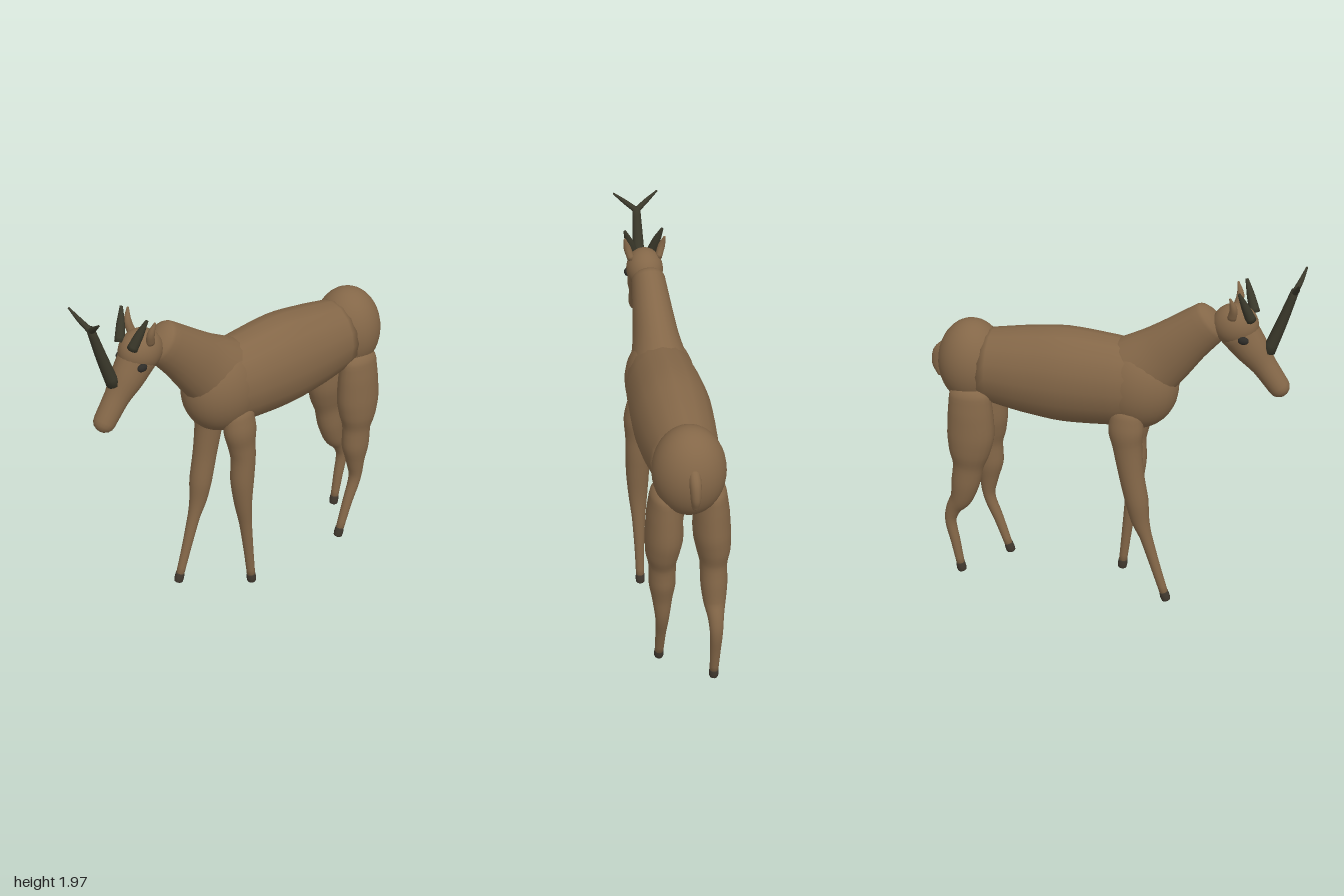
import * as THREE from 'three';

const coat = new THREE.MeshStandardMaterial({ name: 'brown coat', color: 0x846748 });
const horn = new THREE.MeshStandardMaterial({ name: 'dark horn', color: 0x3b392b });
const hoofMat = new THREE.MeshStandardMaterial({ name: 'dark hoof', color: 0x40382e });
const eyeMat = new THREE.MeshStandardMaterial({ name: 'dark eye', color: 0x2e2c28 });

// Smooth tube through sections [x, y, z, side radius, depth radius], with rounded ends.
function loft(name, sections, material, { sides = 20, steps = 4, start = 0, end = 0 } = {}) {
  const centre = new THREE.CatmullRomCurve3(sections.map((s) => new THREE.Vector3(s[0], s[1], s[2])));
  const radius = new THREE.CatmullRomCurve3(sections.map((s) => new THREE.Vector3(s[3], s[4] ?? s[3], 0)));
  const n = (sections.length - 1) * steps;
  const rings = [];
  const addRing = (t, shift, scale) => {
    const tangent = centre.getTangent(t);
    const side = new THREE.Vector3(1, 0, 0).addScaledVector(tangent, -tangent.x).normalize();
    const depth = new THREE.Vector3().crossVectors(tangent, side);
    const r = radius.getPoint(t);
    rings.push({ p: centre.getPoint(t).addScaledVector(tangent, shift), side, depth, a: r.x * scale, b: r.y * scale });
  };
  const angles = [0, 0.25, 0.5, 0.75].map((k) => (k * Math.PI) / 2);
  if (start === 0) addRing(0, 0, 0.001);
  else addRing(0, -start, 0.001);
  if (start > 0) for (const a of angles.slice(1).reverse()) addRing(0, -start * Math.sin(a), Math.cos(a));
  for (let i = 0; i <= n; i++) addRing(i / n, 0, 1);
  if (end > 0) for (const a of angles.slice(1)) addRing(1, end * Math.sin(a), Math.cos(a));
  addRing(1, end, 0.001);

  const positions = [], index = [];
  rings.forEach((ring, i) => {
    for (let j = 0; j < sides; j++) {
      const a = (j / sides) * Math.PI * 2;
      const v = ring.p.clone()
        .addScaledVector(ring.side, ring.a * Math.cos(a))
        .addScaledVector(ring.depth, ring.b * Math.sin(a));
      positions.push(v.x, v.y, v.z);
      if (i === rings.length - 1) continue;
      const p = i * sides + j, q = i * sides + ((j + 1) % sides);
      index.push(p, q, p + sides, q, q + sides, p + sides);
    }
  });
  const geometry = new THREE.BufferGeometry();
  geometry.setAttribute('position', new THREE.Float32BufferAttribute(positions, 3));
  geometry.setIndex(index);
  geometry.computeVertexNormals();
  const mesh = new THREE.Mesh(geometry, material);
  mesh.name = name;
  return mesh;
}

function ellipsoid(name, position, radii, material) {
  const mesh = new THREE.Mesh(new THREE.SphereGeometry(1, 32, 20), material);
  mesh.name = name;
  mesh.position.set(...position);
  mesh.scale.set(...radii);
  return mesh;
}

// Leg from rows [y, z, side radius, depth radius, x offset], plus its hoof.
function leg(name, sideX, rows) {
  const group = new THREE.Group();
  group.name = name;
  const sections = rows.map(([y, z, rx, rz, x = 0.13]) => [sideX * x, y, z, rx, rz]);
  group.add(loft(name + 'Limb', sections, coat, { start: 0.06 }));
  const [x, y, z] = sections[sections.length - 1];
  const [, py, pz] = sections[sections.length - 2];
  const slope = (z - pz) / (y - py);
  group.add(loft(name + 'Hoof', [
    [x, y + 0.005, z, 0.024, 0.024],
    [x, 0.032, z + slope * (0.032 - y), 0.026, 0.027],
    [x, 0.012, z + slope * (0.012 - y), 0.024, 0.025],
  ], hoofMat, { end: 0.01 }));
  return group;
}

export function createModel() {
  const model = new THREE.Group();
  model.name = 'hornedGrazer';

  // Trunk
  model.add(loft('barrel', [
    [0, 1.265, 0.16, 0.18, 0.235],
    [0, 1.265, 0.02, 0.198, 0.25],
    [0, 1.268, -0.24, 0.21, 0.266],
    [0, 1.268, -0.48, 0.198, 0.24],
    [0, 1.27, -0.7, 0.17, 0.2],
  ], coat, { sides: 16 }));
  model.add(ellipsoid('chest', [0, 1.26, 0.14], [0.188, 0.25, 0.232], coat));
  model.add(ellipsoid('rump', [0, 1.28, -0.765], [0.186, 0.24, 0.182], coat));
  model.add(loft('tail', [
    [0, 1.37, -0.91, 0.025, 0.02],
    [0, 1.31, -0.95, 0.03, 0.035],
    [0, 1.24, -0.96, 0.026, 0.034],
    [0, 1.185, -0.95, 0.018, 0.02],
  ], coat, { sides: 14, start: 0.02, end: 0.02 }));

  // Neck and head
  model.add(loft('neck', [
    [0, 1.33, 0.15, 0.16, 0.21],
    [0, 1.44, 0.28, 0.125, 0.172],
    [0, 1.56, 0.41, 0.105, 0.137],
    [0, 1.665, 0.53, 0.09, 0.115],
  ], coat, { start: 0.05, end: 0.05 }));
  model.add(ellipsoid('skull', [0, 1.665, 0.662], [0.1, 0.113, 0.12], coat));
  model.add(loft('muzzle', [
    [0, 1.63, 0.68, 0.092, 0.105],
    [0, 1.54, 0.75, 0.084, 0.09],
    [0, 1.45, 0.82, 0.065, 0.066],
    [0, 1.34, 0.9, 0.059, 0.057],
  ], coat, { start: 0.05, end: 0.055 }));

  for (const s of [-1, 1]) {
    const label = s > 0 ? 'left' : 'right';
    model.add(ellipsoid(label + 'Eye', [s * 0.088, 1.62, 0.72], [0.017, 0.021, 0.028], eyeMat));
    model.add(loft(label + 'Ear', [
      [s * 0.075, 1.73, 0.655, 0.02, 0.024],
      [s * 0.093, 1.79, 0.665, 0.02, 0.02],
      [s * 0.108, 1.85, 0.65, 0.007, 0.006],
    ], coat, { sides: 12, end: 0.008 }));
    model.add(loft(label + 'Horn', [
      [s * 0.05, 1.72, 0.75, 0.028, 0.028],
      [s * 0.075, 1.8, 0.722, 0.023, 0.021],
      [s * 0.102, 1.88, 0.693, 0.008, 0.008],
    ], horn, { sides: 10 }));
    model.add(loft(label + 'Prong', [
      [0, 1.875, 0.955, 0.017, 0.017],
      [s * 0.06, 1.92, 0.977, 0.013, 0.013],
      [s * 0.122, 1.968, 0.994, 0.005, 0.005],
    ], horn, { sides: 8 }));
  }
  model.add(loft('noseHorn', [
    [0, 1.535, 0.838, 0.036, 0.034],
    [0, 1.71, 0.9, 0.03, 0.028],
    [0, 1.888, 0.958, 0.022, 0.02],
  ], horn, { sides: 12 }));

  // Front legs: left set back, right stepping forward
  const shoulder = [[1.12, 0.12, 0.065, 0.088, 0.12], [1.04, 0.12, 0.075, 0.095, 0.125]];
  model.add(leg('leftFrontLeg', 1, [
    ...shoulder,
    [0.95, 0.11, 0.07, 0.08, 0.125],
    [0.86, 0.102, 0.066, 0.069],
    [0.72, 0.108, 0.064, 0.065],
    [0.56, 0.102, 0.052, 0.047],
    [0.42, 0.084, 0.037, 0.034],
    [0.22, 0.061, 0.027, 0.027],
    [0.055, 0.043, 0.023, 0.023],
  ]));
  model.add(leg('rightFrontLeg', -1, [
    ...shoulder,
    [0.95, 0.128, 0.07, 0.08, 0.125],
    [0.78, 0.152, 0.064, 0.068],
    [0.62, 0.183, 0.062, 0.063],
    [0.5, 0.203, 0.048, 0.05],
    [0.4, 0.235, 0.036, 0.034],
    [0.22, 0.289, 0.027, 0.027],
    [0.055, 0.34, 0.023, 0.023],
  ]));

  // Hind legs: left stepping forward, right set back
  const thigh = [[1.13, -0.745, 0.075, 0.115, 0.12], [1.03, -0.745, 0.09, 0.125, 0.12],
    [0.9, -0.747, 0.097, 0.131, 0.122]];
  model.add(leg('leftHindLeg', 1, [
    ...thigh,
    [0.79, -0.743, 0.087, 0.113],
    [0.7, -0.738, 0.07, 0.085],
    [0.6, -0.735, 0.07, 0.084],
    [0.49, -0.738, 0.053, 0.056],
    [0.37, -0.742, 0.037, 0.034],
    [0.22, -0.69, 0.028, 0.028],
    [0.055, -0.636, 0.023, 0.023],
  ]));
  model.add(leg('rightHindLeg', -1, [
    ...thigh,
    [0.79, -0.757, 0.087, 0.113],
    [0.7, -0.767, 0.07, 0.085],
    [0.6, -0.785, 0.07, 0.08],
    [0.49, -0.815, 0.058, 0.062],
    [0.42, -0.86, 0.042, 0.044],
    [0.34, -0.884, 0.034, 0.032],
    [0.2, -0.862, 0.028, 0.027],
    [0.055, -0.838, 0.023, 0.023],
  ]));

  return model;
}
